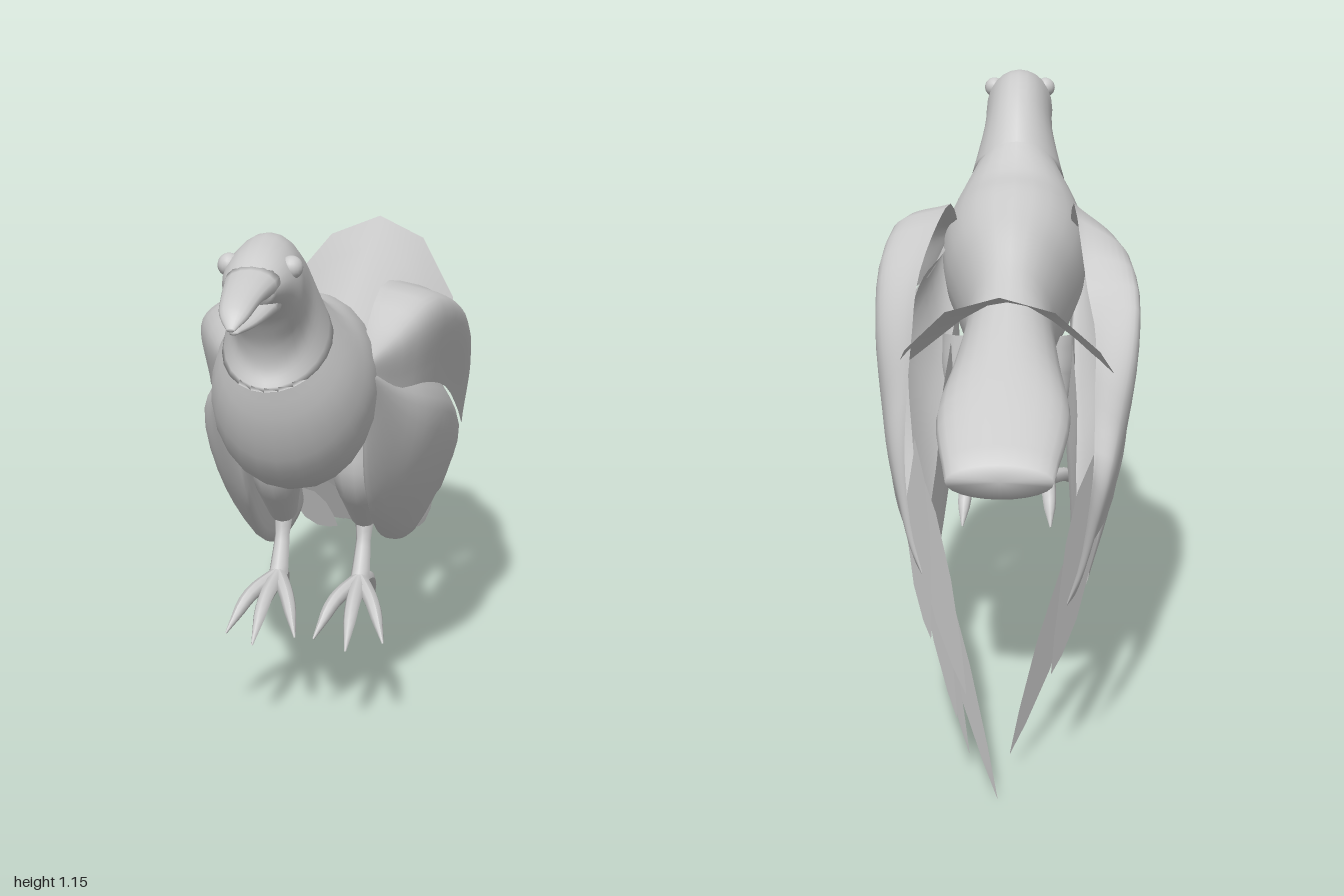
import * as THREE from 'three';

const V = (x, y, z) => new THREE.Vector3(x, y, z);
const solid = new THREE.MeshStandardMaterial({ color: 0xcccccc });
const sheet = new THREE.MeshStandardMaterial({ color: 0xcccccc, side: THREE.DoubleSide });

// Skin over rows of points; closed rows wrap around.
function skin(rows, closed) {
  const n = rows[0].length, index = [];
  for (let i = 0; i < rows.length - 1; i++) {
    for (let j = 0; j < (closed ? n : n - 1); j++) {
      const k = (j + 1) % n, a = i * n + j, b = i * n + k, c = a + n, d = b + n;
      index.push(a, b, c, b, d, c);
    }
  }
  const g = new THREE.BufferGeometry().setFromPoints(rows.flat());
  g.setIndex(index);
  g.computeVertexNormals();
  return g;
}

function add(parent, name, geometry, material = solid) {
  const m = new THREE.Mesh(geometry, material);
  m.name = name;
  parent.add(m);
  return m;
}

// Elliptical loft, front to back. Section: [topZ, topY, bottomZ, bottomY, halfWidth]
function loft(sections, steps = 24, sides = 24) {
  const top = new THREE.CatmullRomCurve3(sections.map(s => V(s[4], s[1], s[0])));
  const low = new THREE.CatmullRomCurve3(sections.map(s => V(0, s[3], s[2])));
  const rows = [];
  for (let i = 0; i <= steps; i++) {
    const t = top.getPoint(i / steps), b = low.getPoint(i / steps);
    const my = (t.y + b.y) / 2, mz = (t.z + b.z) / 2, row = [];
    for (let j = 0; j < sides; j++) {
      const a = j / sides * Math.PI * 2, c = Math.cos(a);
      row.push(V(Math.sin(a) * t.x, my + c * (t.y - my), mz + c * (t.z - mz)));
    }
    if (i === 0) rows.push(row.map(() => V(0, my, mz)));
    rows.push(row);
    if (i === steps) rows.push(row.map(() => V(0, my, mz)));
  }
  return skin(rows, true);
}

// Round limb through points with a radius at each one.
function limb(points, radii, sides = 8) {
  const curve = new THREE.CatmullRomCurve3(points), steps = 10;
  const g = new THREE.TubeGeometry(curve, steps, 1, sides, false);
  const p = g.attributes.position, v = V(0, 0, 0);
  for (let i = 0; i <= steps; i++) {
    const f = i / steps * (radii.length - 1), k = Math.min(Math.floor(f), radii.length - 2);
    const r = THREE.MathUtils.lerp(radii[k], radii[k + 1], f - k);
    const c = curve.getPointAt(i / steps);
    for (let j = 0; j <= sides; j++) {
      const q = i * (sides + 1) + j;
      v.fromBufferAttribute(p, q).sub(c).multiplyScalar(r).add(c);
      p.setXYZ(q, v.x, v.y, v.z);
    }
  }
  g.computeVertexNormals();
  return g;
}

// Thin pointed blade from base to tip, its face turned outward and slightly up
function feather(base, tip, half, s) {
  const dir = tip.clone().sub(base).normalize();
  const side = V(s * 0.95, 0.3, 0).cross(dir).normalize();
  const rows = [[0, 0.6], [0.3, 1], [0.6, 0.9], [0.85, 0.45], [1, 0.02]].map(([t, w]) =>
    [-1, 1].map(k => base.clone().lerp(tip, t).addScaledVector(side, k * w * half)));
  return skin(rows, false);
}

// Surface smoothed across and along. Section: [z, [x, y, x, y, ...]]
function panel(s, sections) {
  const rows = sections.map(([z, p]) => {
    const pts = [];
    for (let i = 0; i < p.length; i += 2) pts.push(V(s * p[i], p[i + 1], z));
    return new THREE.CatmullRomCurve3(pts).getPoints(16);
  });
  return skin(rows[0].map((_, j) => new THREE.CatmullRomCurve3(rows.map(r => r[j])).getPoints(24)), false);
}

// Folded wing: upper sheet, padded lobe under it and flight feathers.
// d lowers the outer edge, e lowers the inner edge behind the shoulder.
function wing(s, d, e, tips) {
  const g = new THREE.Group();
  g.name = s > 0 ? 'leftWing' : 'rightWing';
  add(g, 'upperSheet', panel(s, [
    [0.40, [0.14, 0.83, 0.15, 0.82, 0.155, 0.80]],
    [0.29, [0.13, 0.87, 0.19, 0.84 - d / 2, 0.19, 0.74]],
    [0.16, [0.14, 0.93, 0.25, 0.89 - d, 0.235, 0.72 - d / 2]],
    [-0.02, [0.17, 0.89 - e, 0.28, 0.84 - d, 0.25, 0.66 - d / 2]],
    [-0.20, [0.19, 0.83 - e, 0.275, 0.75 - d, 0.25, 0.56 - d / 2]],
    [-0.38, [0.19, 0.76 - e, 0.25, 0.66 - d, 0.235, 0.47 - d / 2]],
    [-0.54, [0.19, 0.675 - e, 0.23, 0.6 - d, 0.21, 0.44 - d / 2]],
    [-0.69, [0.185, 0.575 - e / 2, 0.2, 0.52 - d, 0.18, 0.43 - d / 2]],
    [-0.80, [0.165, 0.475 - d, 0.17, 0.45 - d, 0.16, 0.415 - d]],
    [-0.87, [0.14, 0.413 - d, 0.141, 0.41 - d, 0.14, 0.407 - d]],
  ]), sheet);
  add(g, 'lobe', panel(s, [
    [0.41, [0.15, 0.81, 0.16, 0.80, 0.155, 0.78, 0.145, 0.77, 0.14, 0.79]],
    [0.29, [0.16, 0.79, 0.20, 0.72, 0.18, 0.59, 0.13, 0.51, 0.13, 0.68]],
    [0.16, [0.20, 0.76, 0.25, 0.66, 0.205, 0.48, 0.13, 0.38, 0.14, 0.6]],
    [-0.02, [0.22, 0.70, 0.266, 0.60, 0.21, 0.41, 0.14, 0.30, 0.15, 0.52]],
    [-0.20, [0.21, 0.61, 0.255, 0.52, 0.205, 0.36, 0.145, 0.255, 0.15, 0.44]],
    [-0.36, [0.19, 0.51, 0.225, 0.45, 0.195, 0.33, 0.145, 0.255, 0.155, 0.38]],
    [-0.47, [0.17, 0.32, 0.18, 0.31, 0.175, 0.28, 0.155, 0.26, 0.16, 0.29]],
  ].map(([z, p]) => [z, p.map((v, i) => (i % 2 ? v - d * 0.4 : v))])), sheet);
  tips.forEach((t, i) => {
    const f = i / (tips.length - 1);
    const base = V(s * (0.2 - 0.04 * f), 0.49 - 0.2 * f - d / 2, -0.33 - 0.08 * f);
    add(g, 'flightFeather', feather(base, V(...t), 0.068 - 0.035 * f, s), sheet);
  });
  return g;
}

// Thigh, shank and four toes
function leg(s) {
  const g = new THREE.Group();
  g.name = s > 0 ? 'leftLeg' : 'rightLeg';
  const x = s * 0.09 + 0.01, foot = V(x, 0.28, 0.2);
  add(g, 'thigh', limb([V(x, 0.62, 0.22), V(x, 0.52, 0.21), V(x, 0.45, 0.17), V(x, 0.405, 0.14)],
    [0.06, 0.062, 0.045, 0.03], 12));
  add(g, 'shank', limb([V(x, 0.44, 0.13), V(x, 0.35, 0.16), foot], [0.025, 0.016, 0.021]));
  const toes = [[-0.07, 0.37], [0.01, 0.43], [0.08, 0.37], [0.01, 0.08]];
  for (const [dx, z] of toes) {
    const tip = V(x + s * dx, 0.2, z);
    const mid = foot.clone().lerp(tip, 0.55).add(V(0, 0.025, 0));
    const low = foot.clone().lerp(tip, 0.85).add(V(0, 0.01, 0));
    add(g, 'toe', limb([foot, mid, low, tip], [0.018, 0.017, 0.014, 0.002]));
  }
  return g;
}

export function createModel() {
  const bird = new THREE.Group();
  bird.name = 'bird';

  add(bird, 'body', loft([
    [0.52, 1.05, 0.66, 0.87, 0.07], [0.40, 0.965, 0.63, 0.73, 0.14], [0.30, 0.945, 0.56, 0.61, 0.167],
    [0.20, 0.915, 0.42, 0.55, 0.16], [0.10, 0.88, 0.28, 0.52, 0.13], [0, 0.82, 0.10, 0.515, 0.1],
    [-0.20, 0.74, -0.12, 0.51, 0.115], [-0.40, 0.66, -0.38, 0.505, 0.14], [-0.62, 0.555, -0.61, 0.48, 0.11],
  ], 32));
  // Neck ends in a loose rim over the breast
  add(bird, 'headAndNeck', loft([
    [0.84, 1.10, 0.83, 1.045, 0.045], [0.78, 1.13, 0.76, 1.01, 0.067], [0.72, 1.145, 0.72, 0.96, 0.078],
    [0.65, 1.147, 0.70, 0.92, 0.078], [0.56, 1.105, 0.695, 0.88, 0.083], [0.44, 0.975, 0.71, 0.84, 0.11],
  ]));

  // Slightly open beak
  add(bird, 'upperBeak', loft([
    [1.0, 1.045, 0.998, 1.037, 0.008], [0.97, 1.078, 0.97, 1.045, 0.028],
    [0.90, 1.10, 0.90, 1.058, 0.04], [0.80, 1.118, 0.80, 1.05, 0.055],
  ], 12, 16));
  add(bird, 'lowerBeak', loft([
    [0.975, 1.033, 0.975, 1.025, 0.008], [0.90, 1.04, 0.89, 1.015, 0.028], [0.78, 1.06, 0.77, 1.01, 0.05],
  ], 10, 16));

  // Raised tail fan, broad at the rear
  const half = [[0.23, 0.67, -0.33], [0.2, 0.75, -0.46], [0.11, 0.86, -0.58]];
  const rim = [...half.map(p => V(-p[0], p[1], p[2])), V(0, 0.9, -0.62), ...half.reverse().map(p => V(...p))];
  const fanRows = [0, 0.25, 0.5, 0.75, 1].map(t =>
    rim.map((p, j) => V((j - 3) * 0.02, 0.74, 0).lerp(p, t)));
  add(bird, 'tailFan', skin(fanRows, false), sheet);

  for (const s of [1, -1]) {
    const eye = add(bird, 'eye', new THREE.SphereGeometry(0.023, 16, 12));
    eye.position.set(s * 0.061, 1.1, 0.735);
    bird.add(leg(s));
  }

  bird.add(wing(1, 0, 0, [[0.12, 0.3, -0.93], [0.05, 0.21, -0.99], [0.07, 0.14, -0.94],
    [-0.01, 0, -1], [0.05, 0.04, -0.87], [0.08, 0.13, -0.68]]));
  bird.add(wing(-1, 0.06, 0.11, [[-0.12, 0.27, -0.84], [-0.11, 0.2, -0.85],
    [-0.03, 0.04, -0.87], [-0.07, 0.12, -0.68], [-0.09, 0.14, -0.55]]));
  return bird;
}
